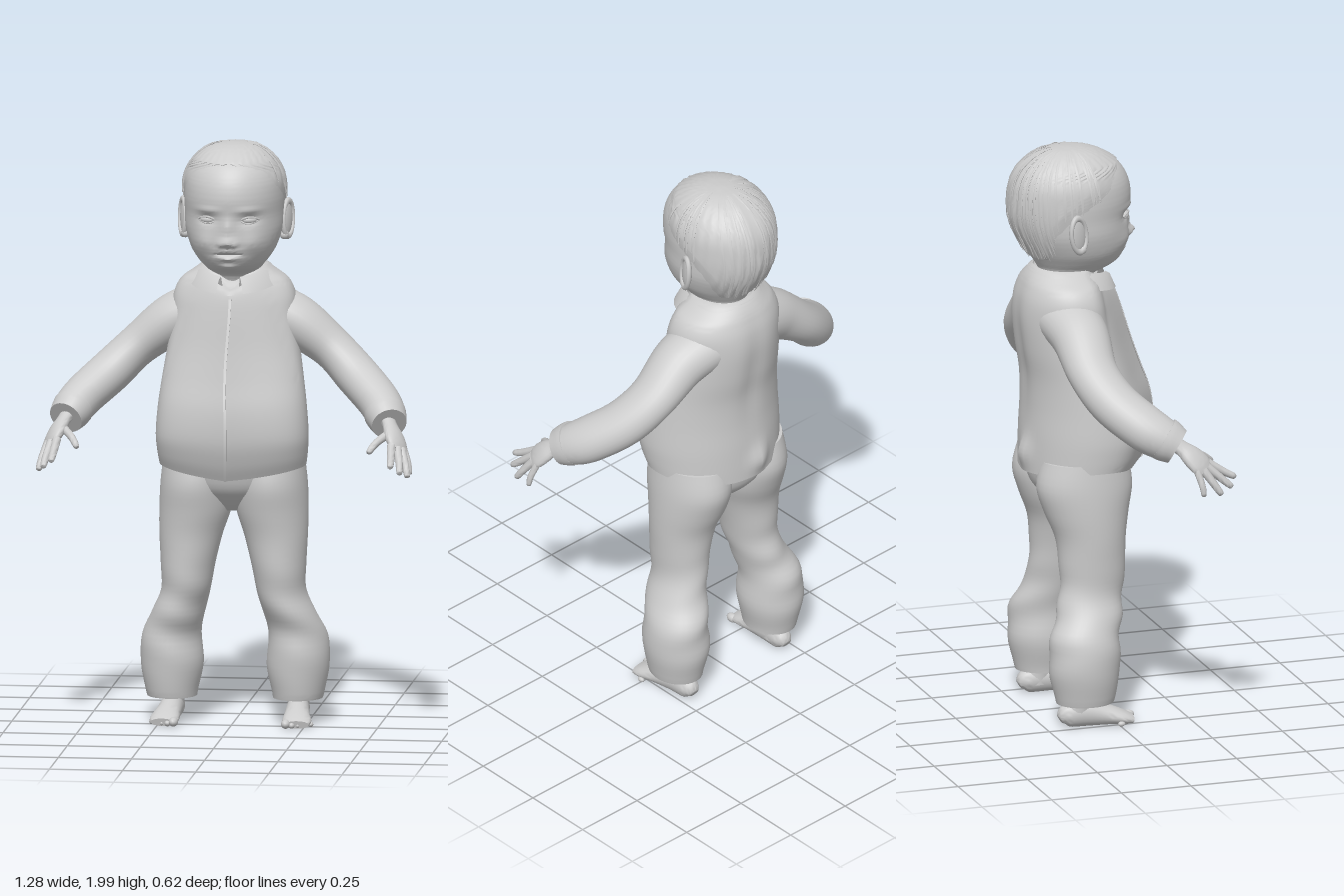
import * as THREE from 'three';
import { toCreasedNormals } from 'three/addons/utils/BufferGeometryUtils.js';

const V = (x, y, z) => new THREE.Vector3(x, y, z);
const TAU = Math.PI * 2;
const clay = new THREE.MeshStandardMaterial({ color: 0xcccccc });
clay.name = 'light grey';
const clayThin = clay.clone();
clayThin.name = 'light grey thin';
clayThin.side = THREE.DoubleSide;

function add(parent, name, geo, mat = clay) {
  const mesh = new THREE.Mesh(geo, mat);
  mesh.name = name;
  parent.add(mesh);
  return mesh;
}

// Skin a list of rings; closed rings wrap round and get end caps
function skin(rings, closed = true, crease = 0.9) {
  if (closed) {
    const cap = r => {
      const c = r.reduce((s, p) => s.add(p), V(0, 0, 0)).divideScalar(r.length);
      return r.map(() => c);
    };
    rings = [cap(rings[0]), ...rings, cap(rings[rings.length - 1])];
  }
  const n = rings[0].length, index = [];
  for (let j = 0; j < rings.length - 1; j++) {
    for (let i = 0; i < (closed ? n : n - 1); i++) {
      const k = (i + 1) % n, a = j * n + i, b = j * n + k, c = a + n, d = b + n;
      if (!(closed && j === 0)) index.push(a, b, d);
      if (!(closed && j === rings.length - 2)) index.push(a, d, c);
      if (closed && j === 0) continue;
    }
  }
  const geo = new THREE.BufferGeometry().setFromPoints(rings.flat());
  geo.setIndex(index);
  return toCreasedNormals(geo, crease);
}

// Smoothly resample rows of numbers
function resample(rows, n) {
  const out = [], last = rows.length - 1;
  for (let k = 0; k <= n; k++) {
    const f = k / n * last, i = Math.min(Math.floor(f), last - 1), t = f - i;
    const r = d => rows[Math.min(Math.max(i + d, 0), last)];
    out.push(r(0).map((p1, c) => {
      const p0 = r(-1)[c], p2 = r(1)[c], p3 = r(2)[c];
      return p1 + 0.5 * t * (p2 - p0 + t * (2 * p0 - 5 * p1 + 4 * p2 - p3 + t * (3 * (p1 - p2) + p3 - p0)));
    }));
  }
  return out;
}

// Level section: [y, centre x, half width, front z, back z]
const level = ([y, cx, rx, zf, zb], a, off = 0) => V(
  cx + (rx + off) * Math.sin(a), y, (zf + zb) / 2 + ((zf - zb) / 2 + off) * Math.cos(a));

function loft(rows, n, seg, deform = () => {}) {
  return skin(resample(rows, n).map(r => Array.from({ length: seg }, (_, i) => {
    const p = level(r, i / seg * TAU);
    deform(p);
    return p;
  })));
}

// Sweep along a path: [x, y, z, radius along ref, radius across]
function sweep(rows, ref, n, seg, deform = () => {}) {
  const s = resample(rows, n), at = i => V(...s[Math.min(Math.max(i, 0), n)].slice(0, 3));
  return skin(s.map((r, i) => {
    const t = at(i + 1).sub(at(i - 1)).normalize();
    const B = ref.clone().addScaledVector(t, -ref.dot(t)).normalize();
    const A = t.clone().cross(B);
    return Array.from({ length: seg }, (_, k) => {
      const a = k / seg * TAU;
      const p = at(i).addScaledVector(B, r[3] * Math.cos(a)).addScaledVector(A, r[4] * Math.sin(a));
      deform(p);
      return p;
    });
  }));
}

const bump = (dx, dy, sx, sy) => Math.exp(-((dx / sx) ** 2) - (dy / sy) ** 2);
const flip = (rows, s) => rows.map(([x, ...rest]) => [x * s, ...rest]);

const HEAD = [
  [1.49, 0, .085, -.03, -.19], [1.545, 0, .086, -.01, -.195], [1.575, 0, .1, .055, -.205],
  [1.60, 0, .12, .085, -.22], [1.64, 0, .145, .10, -.245], [1.70, 0, .164, .108, -.28],
  [1.76, 0, .168, .112, -.30], [1.82, 0, .17, .12, -.302], [1.88, 0, .164, .108, -.292],
  [1.93, 0, .14, .075, -.262], [1.97, 0, .098, .015, -.21], [1.987, 0, .055, -.04, -.16],
  [1.992, 0, .015, -.085, -.115]];

// Face modelling: nose, sockets, lips, cheeks, chin
function face(p) {
  if (p.z < -.02) return;
  const x = Math.abs(p.x), y = p.y;
  p.z += .034 * bump(x, y - 1.675, .022, .018) + .014 * bump(x, y - 1.715, .015, .035)
    + .012 * bump(x - .024, y - 1.668, .01, .011)
    - .014 * bump(x - .072, y - 1.752, .032, .018) + .006 * bump(x - .07, y - 1.785, .04, .01)
    + .015 * bump(x, y - 1.645, .034, .009) - .013 * bump(x, y - 1.632, .038, .004)
    + .014 * bump(x, y - 1.618, .03, .009) + .012 * bump(x - .085, y - 1.67, .04, .035)
    + .013 * bump(x, y - 1.585, .03, .014);
}

// Hairline: angle from the front where hair starts at height y
function hairline(y) {
  const L = [[1.6, 2.5], [1.64, 2.3], [1.72, 2.0], [1.8, 1.5], [1.86, 1.0], [1.91, .7], [1.94, 0], [2.1, 0]];
  const i = L.findIndex(l => l[0] > y), [a, b] = [L[i - 1], L[i]];
  return a[1] + (b[1] - a[1]) * (y - a[0]) / (b[0] - a[0]);
}

function buildHead(root) {
  const head = new THREE.Group();
  head.name = 'head';
  root.add(head);
  add(head, 'face and neck', loft(HEAD, 110, 80, face));
  const rows = resample(HEAD, 60).filter(r => r[0] > 1.62);
  add(head, 'hair cap', skin(rows.map(r => Array.from({ length: 97 }, (_, i) => {
    const a0 = hairline(r[0]), u = i / 96, a = a0 + u * (TAU - 2 * a0);
    const edge = r[0] > 1.935 ? 1 : Math.min(1, 8 * Math.min(u, 1 - u));
    return level(r, a, -.002 + edge * (.008 + .002 * Math.sin(a * 31 + 2 * Math.sin(r[0] * 9))));
  })), false, 1.2), clayThin);
  // Loose strands combed from the crown down
  let seed = 7;
  const rnd = () => (seed = seed * 16807 % 2147483647) / 2147483647;
  for (let i = 0; i < 44; i++) {
    const a = 1.15 + rnd() * (TAU - 2.3), side = Math.min(a, TAU - a);
    const start = rows.length - 4 - Math.floor(rnd() * 10);
    const path = [];
    for (let k = start; k >= 0 && path.length < 26; k -= 3) {
      if (hairline(rows[k][0]) > side - .08) break;
      const p = level(rows[k], a + .004 * (start - k), .007 + (k < 4 ? .006 : 0));
      path.push([p.x, p.y, p.z, .003, .005]);
    }
    if (path.length < 3) continue;
    path[0][3] = path[path.length - 1][3] = path[path.length - 1][4] = .001;
    add(head, 'hair strand', sweep(path, V(Math.sin(a), .1, Math.cos(a)), 10, 5));
  }
  for (const s of [1, -1]) {
    // Eyes with lids
    const eye = add(head, 'eyeball', new THREE.SphereGeometry(1, 20, 14));
    eye.scale.set(.026, .013, .014);
    eye.position.set(.072 * s, 1.752, .083);
    eye.rotation.y = .35 * s;
    for (const [dy, r] of [[.011, .004], [-.011, .003]]) {
      const lid = new THREE.QuadraticBezierCurve3(V(.042 * s, 1.75, .092), V(.072 * s, 1.752 + 2 * dy, .11), V(.103 * s, 1.752, .066));
      add(head, 'eyelid', new THREE.TubeGeometry(lid, 14, r, 6));
    }
    // Ears
    const ear = new THREE.Group();
    ear.name = 'ear';
    ear.position.set(.174 * s, 1.728, -.122);
    ear.rotation.set(-.12, -.4 * s, 0);
    head.add(ear);
    add(ear, 'ear shell', new THREE.SphereGeometry(1, 18, 14)).scale.set(.013, .062, .034);
    const rim = add(ear, 'ear rim', new THREE.TorusGeometry(1, .2, 8, 28).rotateY(Math.PI / 2));
    rim.scale.set(.045, .06, .033);
    rim.position.x = .006 * s;
    const lobe = add(ear, 'earlobe', new THREE.SphereGeometry(.016, 12, 8));
    lobe.position.set(0, -.056, .012);
  }
}

// Jacket body: pointed belly, curved hem, small crease at the back
function shapeJacket(p) {
  const k = Math.min(1, Math.abs(p.x) / .26), front = Math.min(1, Math.max(0, (p.z + .07) / .1));
  p.z -= .17 * k * (1 - k) * front;
  if (p.z < -.1) p.z -= .025 * bump(p.x + .03, p.y - .93, .035, .05) - .012 * bump(p.x, p.y - 1.3, .04, .2);
  if (p.y < 1) p.y += .03 * k * k * (1 - p.y) / .13;
  if (p.y > 1.42 && p.z > -.05) p.y -= .06 * bump(p.x, p.y - 1.58, .05, .06);
}

function buildJacket(root) {
  const jacket = new THREE.Group();
  jacket.name = 'jacket';
  root.add(jacket);
  const rows = [[.865, 0, .25, .165, -.262], [.92, 0, .256, .19, -.262], [1, 0, .26, .208, -.26],
    [1.1, 0, .253, .197, -.255], [1.2, 0, .24, .16, -.258], [1.3, 0, .225, .125, -.275],
    [1.4, 0, .213, .095, -.285], [1.47, 0, .208, .07, -.28], [1.52, 0, .185, .045, -.265],
    [1.55, 0, .145, .02, -.25], [1.575, 0, .11, 0, -.23]];
  add(jacket, 'jacket body', loft(rows, 50, 64, shapeJacket));
  // Front closure
  const line = resample(rows, 24).filter(r => r[0] < 1.49).map(r => [.004 * Math.sin(r[0] * 14), r[0], r[3], .003, .005]);
  add(jacket, 'front closure', sweep(line, V(0, 0, 1), 24, 6));
  // Turned-down collar, open at the throat
  const edges = [[1.545, .095, .1], [1.58, .108, .112], [1.572, .125, .127], [1.538, .158, .146]];
  add(jacket, 'collar', skin(edges.map(([y, rx, rz], e) => Array.from({ length: 49 }, (_, i) => {
    const a = .3 + i / 48 * (TAU - .6), f = (1 + Math.cos(a)) / 2;
    return V(rx * Math.sin(a), y - .035 * f * f - (e === 3 ? .012 * f : 0), -.105 + (rz + .025 * f) * Math.cos(a));
  })), false), clayThin);
  for (const s of [1, -1]) {
    const arm = flip([[.1, 1.42, -.14, .11, .09], [.21, 1.375, -.125, .1, .088], [.33, 1.285, -.122, .088, .072],
      [.42, 1.2, -.078, .085, .074], [.5, 1.13, 0, .083, .072], [.535, 1.09, .06, .073, .068], [.55, 1.068, .095, .06, .058]], s);
    add(jacket, 'sleeve', sweep(arm, V(0, 0, 1), 36, 28));
    add(jacket, 'sleeve cuff', sweep(flip([[.533, 1.092, .062, .077, .071], [.541, 1.08, .08, .074, .068], [.553, 1.064, .105, .064, .06]], s), V(0, 0, 1), 6, 28));
  }
}

function buildHand(root, s) {
  const hand = new THREE.Group();
  hand.name = s > 0 ? 'left hand' : 'right hand';
  root.add(hand);
  const across = V(.035 * s, -.015, -.06);
  add(hand, 'palm', sweep(flip([[.54, 1.085, .08, .03, .026], [.558, 1.058, .12, .03, .022], [.573, 1.033, .148, .042, .024],
    [.588, 1.005, .175, .046, .02], [.597, .987, .192, .036, .012]], s), across, 14, 18));
  const fingers = [[[.572, 1.005, .205], [.577, .968, .262], [.58, .945, .305]], [[.592, .995, .198], [.604, .95, .248], [.61, .92, .283]],
    [[.604, .99, .18], [.622, .938, .215], [.631, .902, .238]], [[.608, .99, .157], [.626, .94, .17], [.632, .902, .175]],
    [[.56, 1.04, .15], [.522, 1.015, .205], [.497, .985, .248]]];
  fingers.forEach((f, i) => {
    const [a, b, c] = f, w = i === 3 ? .011 : .013;
    const tip = c.map((v, k) => v + (b[k] - v) * .15);
    add(hand, i === 4 ? 'thumb' : 'finger',
      sweep(flip([[...a, w * 1.15, w * 1.15], [...b, w, w], [...tip, w * .8, w * .8], [...c, .003, .003]], s), across, 12, 10));
  });
}

function buildLegs(root) {
  const trousers = new THREE.Group();
  trousers.name = 'trousers';
  root.add(trousers);
  add(trousers, 'seat of trousers', loft([[.735, 0, .05, -.02, -.15], [.78, 0, .15, .035, -.2],
    [.83, 0, .215, .075, -.23], [.93, 0, .238, .1, -.24]], 14, 40));
  const leg = [[.085, .215, .085, -.01, -.21], [.11, .216, .09, -.004, -.216], [.2, .215, .107, .01, -.235],
    [.3, .216, .1, .01, -.23], [.38, .19, .09, .025, -.205], [.46, .163, .084, .04, -.18], [.55, .155, .093, .05, -.18],
    [.65, .145, .108, .055, -.19], [.74, .131, .123, .07, -.225], [.83, .126, .124, .085, -.25], [.92, .12, .12, .07, -.23]];
  for (const s of [1, -1]) {
    add(trousers, 'trouser leg', loft(leg.map(([y, x, ...r]) => [y, x * s, ...r]), 40, 36, p => {
      // Soft folds round the shin
      p.z += .006 * Math.sin(p.y * 45 + p.x * 14) * bump(0, p.y - .36, 1, .14);
    }));
    const foot = new THREE.Group();
    foot.name = s > 0 ? 'left foot' : 'right foot';
    root.add(foot);
    add(foot, 'ankle', loft([[.03, .213 * s, .036, -.085, -.19], [.08, .214 * s, .038, -.08, -.178], [.16, .214 * s, .045, -.06, -.17]], 8, 20));
    add(foot, 'sole and instep', sweep(flip([[.213, .03, -.2, .016, .018], [.213, .04, -.175, .04, .034], [.215, .045, -.11, .047, .038],
      [.22, .034, -.04, .036, .043], [.226, .022, .02, .023, .05], [.229, .014, .052, .014, .042]], s), V(0, 1, 0), 20, 24,
      p => { p.y = Math.max(0, p.y); }));
    for (let i = 0; i < 5; i++) {
      const r = i === 0 ? .016 : .012 - .0008 * i;
      const toe = add(foot, 'toe', new THREE.SphereGeometry(r, 12, 8));
      toe.scale.z = 1.5;
      toe.position.set((.192 + .02 * i) * s, r, .05 - .003 * i * i);
    }
  }
}

export function createModel() {
  const root = new THREE.Group();
  root.name = 'toddler figure';
  buildHead(root);
  buildJacket(root);
  buildHand(root, 1);
  buildHand(root, -1);
  buildLegs(root);
  return root;
}
